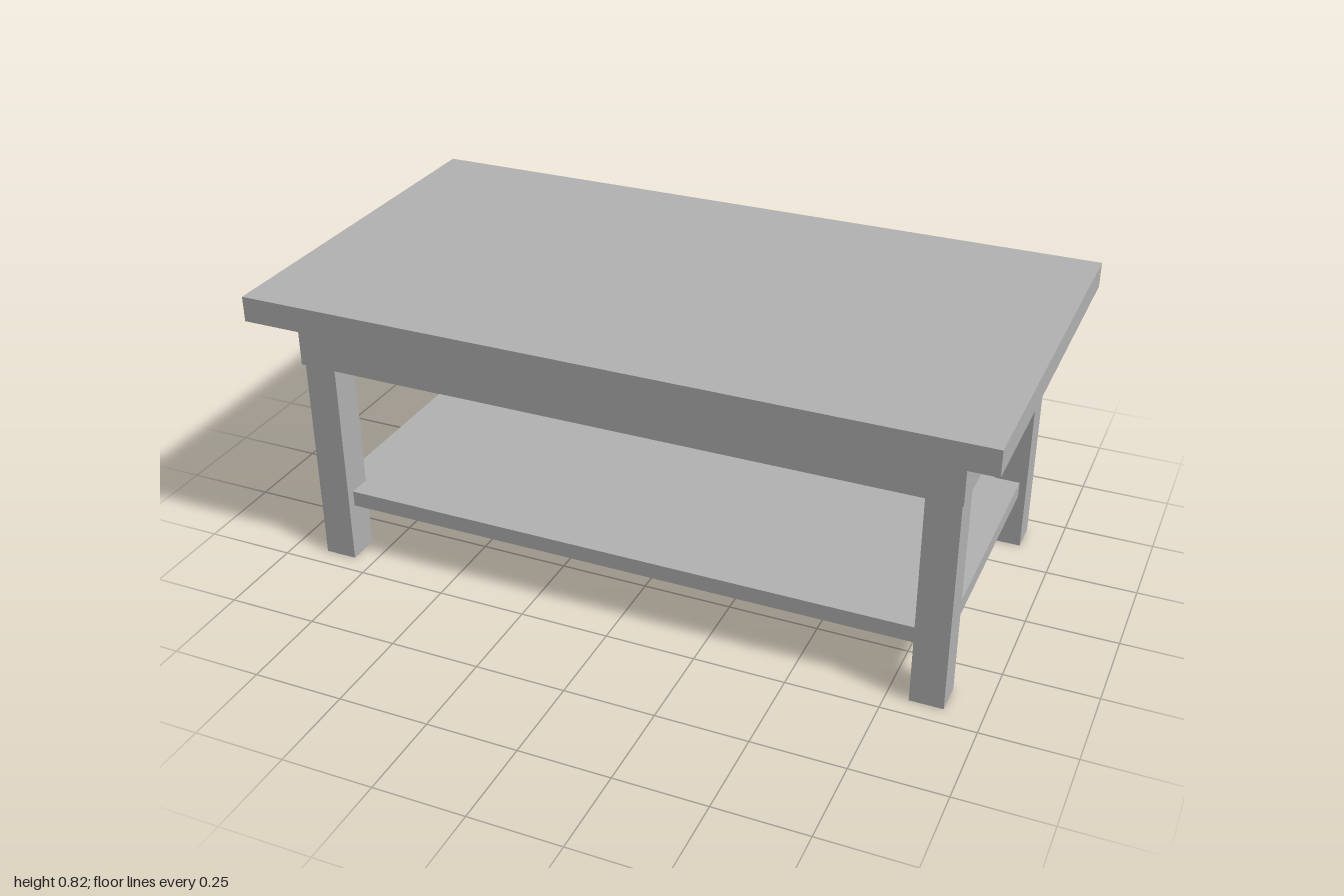
import * as THREE from 'three';

export function createModel() {
  const table = new THREE.Group();
  table.name = 'coffeeTable';

  const grey = new THREE.MeshStandardMaterial({ color: 0xb3b3b3, side: THREE.DoubleSide });
  grey.name = 'grey';

  // Adds a box centred on x, z and spanning y0 to y1
  function addBox(name, width, depth, y0, y1, x = 0, z = 0) {
    const mesh = new THREE.Mesh(new THREE.BoxGeometry(width, y1 - y0, depth), grey);
    mesh.position.set(x, (y0 + y1) / 2, z);
    mesh.name = name;
    table.add(mesh);
    return mesh;
  }

  addBox('tableTop', 2, 1.09, 0.75, 0.82);
  addBox('apron', 1.81, 0.91, 0.6, 0.75);
  addBox('shelf', 1.76, 0.84, 0.16, 0.205); // corners sit inside the legs

  // Four hollow legs, open at both ends
  for (const [sx, side] of [[1, 'Left'], [-1, 'Right']]) {
    for (const [sz, end] of [[1, 'front'], [-1, 'back']]) {
      const leg = addBox(`${end}${side}Leg`, 0.09, 0.09, 0, 0.6, sx * 0.855, sz * 0.4);
      const index = Array.from(leg.geometry.index.array);
      index.splice(12, 12); // drop the top and bottom faces
      leg.geometry.setIndex(index);
      leg.geometry.clearGroups();
    }
  }

  return table;
}
